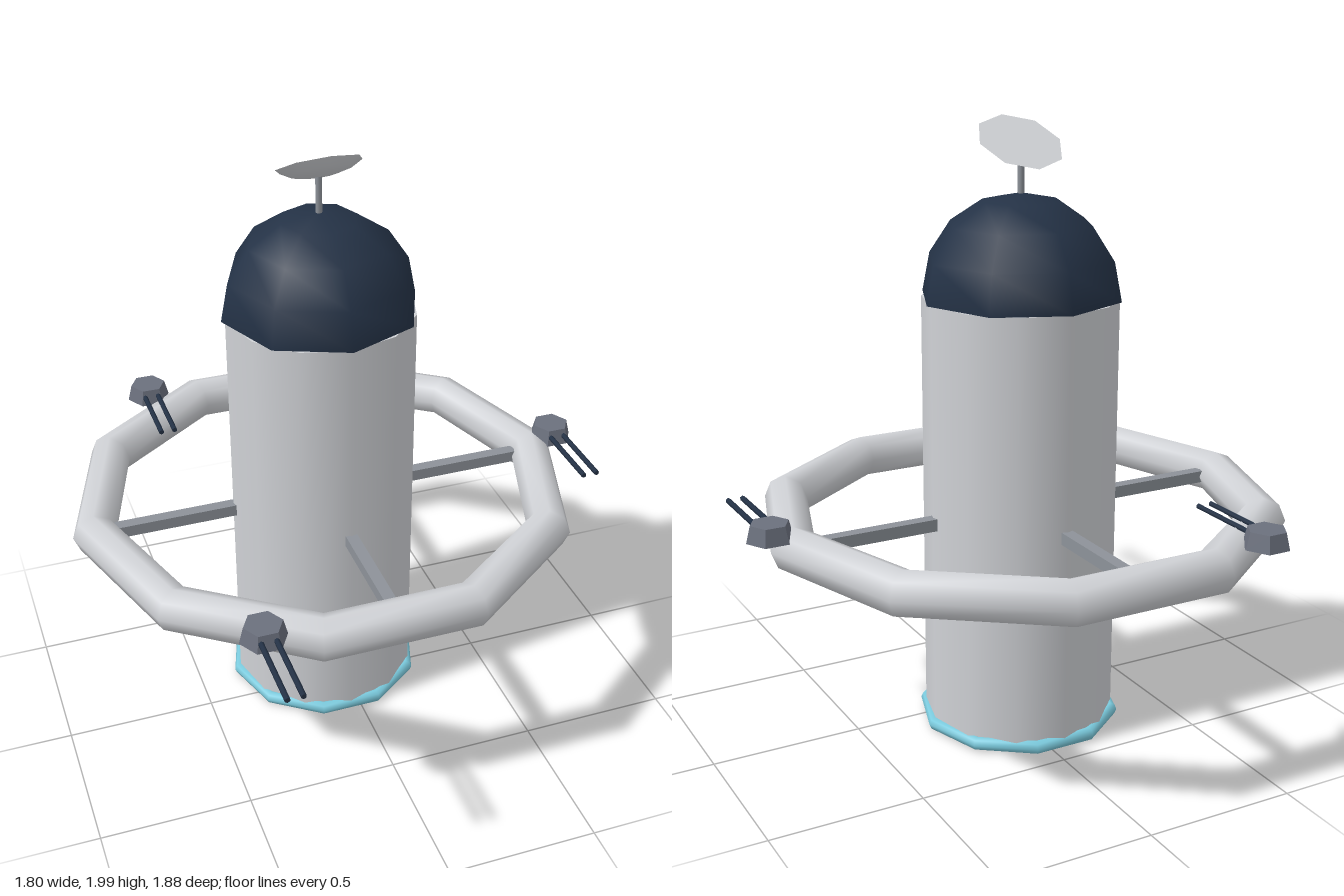
import * as THREE from 'three';

const material = (name, color, side = THREE.FrontSide) => {
  const m = new THREE.MeshStandardMaterial({ color, side });
  m.name = name;
  return m;
};

export function createModel() {
  const hull = material('pale grey hull', 0xd0d2d6);
  const navy = material('dark navy', 0x243246, THREE.DoubleSide);
  const cyan = material('cyan glow', 0x7bcbde);
  const strut = material('strut grey', 0x8d9299);
  const slate = material('slate turret', 0x6b707d);

  const model = new THREE.Group();
  model.name = 'spaceStation';
  const station = new THREE.Group();
  station.name = 'station';
  station.position.set(-0.04, 0, -0.123);
  model.add(station);

  const add = (parent, name, geometry, mat, x = 0, y = 0, z = 0) => {
    const mesh = new THREE.Mesh(geometry, mat);
    mesh.name = name;
    mesh.position.set(x, y, z);
    parent.add(mesh);
    return mesh;
  };

  // Core column with a domed top and a glowing band at its foot
  const bottom = 0.022, domeBase = 1.44;
  add(station, 'core', new THREE.CylinderGeometry(0.314, 0.314, domeBase - bottom, 12),
    hull, 0, (domeBase + bottom) / 2);
  add(station, 'dome', new THREE.SphereGeometry(0.327, 8, 4, 0, Math.PI * 2, 0, Math.PI / 2),
    navy, 0, domeBase);
  add(station, 'baseBand', new THREE.TorusGeometry(0.314, 0.022, 8, 10).rotateX(Math.PI / 2),
    cyan, 0, bottom);

  // Habitat ring and its four spokes
  const ringY = 0.73;
  add(station, 'ring', new THREE.TorusGeometry(0.788, 0.073, 8, 10).rotateX(Math.PI / 2),
    hull, 0, ringY);
  for (let i = 0; i < 4; i++) {
    const a = i * Math.PI / 2;
    const spoke = add(station, 'spoke', new THREE.BoxGeometry(0.46, 0.04, 0.04), strut,
      Math.cos(a) * 0.52, ringY, Math.sin(a) * 0.52);
    spoke.rotation.y = -a;
  }

  // Three turrets on the ring, all with twin barrels pointing forward
  for (let i = 0; i < 3; i++) {
    const a = i * Math.PI * 2 / 3;
    const turret = new THREE.Group();
    turret.name = 'turret';
    turret.position.set(Math.cos(a) * 0.862, 0.802, Math.sin(a) * 0.862);
    station.add(turret);
    const body = new THREE.CylinderGeometry(0.062, 0.076, 0.055, 6).rotateY(Math.PI / 2).toNonIndexed();
    body.computeVertexNormals();
    add(turret, 'turretBody', body, slate);
    for (const side of [-1, 1]) {
      const barrel = new THREE.CylinderGeometry(0.009, 0.009, 0.3, 6).rotateX(Math.PI / 2);
      add(turret, 'barrel', barrel, navy, side * 0.024, 0.003, 0.165);
    }
  }

  // Antenna mast and dish, tilted up and to the back
  add(station, 'mast', new THREE.CylinderGeometry(0.011, 0.011, 0.16, 8), strut, 0, 1.82);
  const dish = new THREE.Group();
  dish.name = 'dish';
  dish.position.set(0, 1.922, 0.005);
  dish.rotation.x = -0.54;
  station.add(dish);
  const bowl = [[0, -0.036], [0.055, -0.033], [0.1, -0.022], [0.14, 0]];
  add(dish, 'dishBack', new THREE.LatheGeometry(bowl.map(p => new THREE.Vector2(...p)), 8), hull);
  add(dish, 'dishFace', new THREE.CircleGeometry(0.14, 8).rotateX(-Math.PI / 2), hull);

  return model;
}
